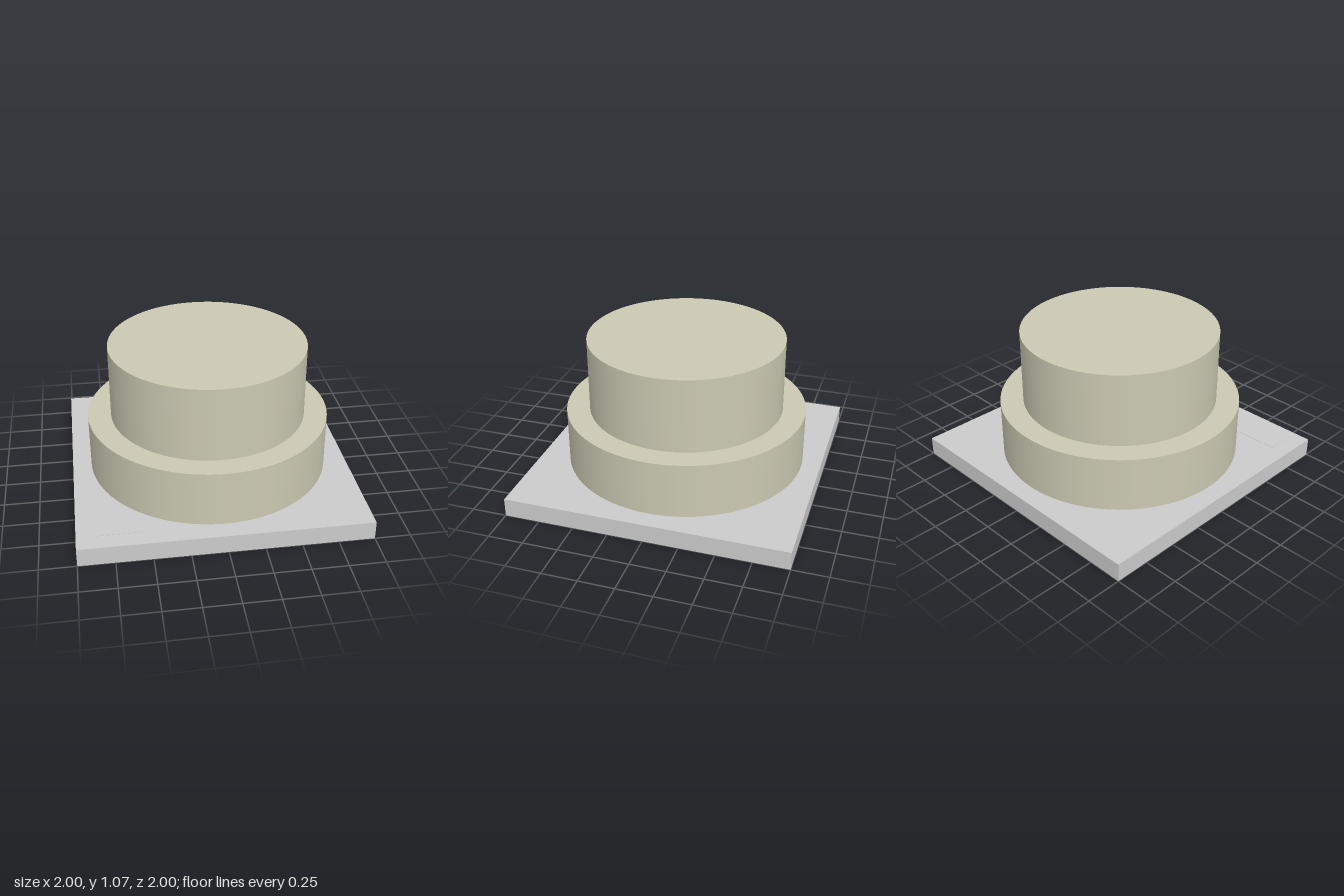
import * as THREE from 'three';

export function createModel() {
  const model = new THREE.Group();
  const grey = new THREE.MeshStandardMaterial({ color: 0xcccccc });
  const cream = new THREE.MeshStandardMaterial({ color: 0xcbc9b2 });

  // Adds a part standing on height y
  function add(name, geometry, height, material, x, y, z) {
    const mesh = new THREE.Mesh(geometry, material);
    mesh.name = name;
    mesh.position.set(x, y + height / 2, z);
    model.add(mesh);
  }

  // Square board
  const boardTop = 0.133;
  add('board', new THREE.BoxGeometry(2, boardTop, 2), boardTop, grey, 0, 0, 0);

  // Two stacked round tiers
  const tiers = [
    { name: 'lowerTier', radius: 0.865, height: 0.4 },
    { name: 'upperTier', radius: 0.7, height: 0.534 },
  ];
  let y = boardTop;
  for (const { name, radius, height } of tiers) {
    add(name, new THREE.CylinderGeometry(radius, radius, height, 96), height, cream, 0, y, 0);
    y += height;
  }

  // Thin blank label plate in the front corner of the board
  add('labelPlate', new THREE.BoxGeometry(0.32, 0.002, 0.16), 0.002, grey, -0.72, boardTop, 0.797);

  return model;
}
